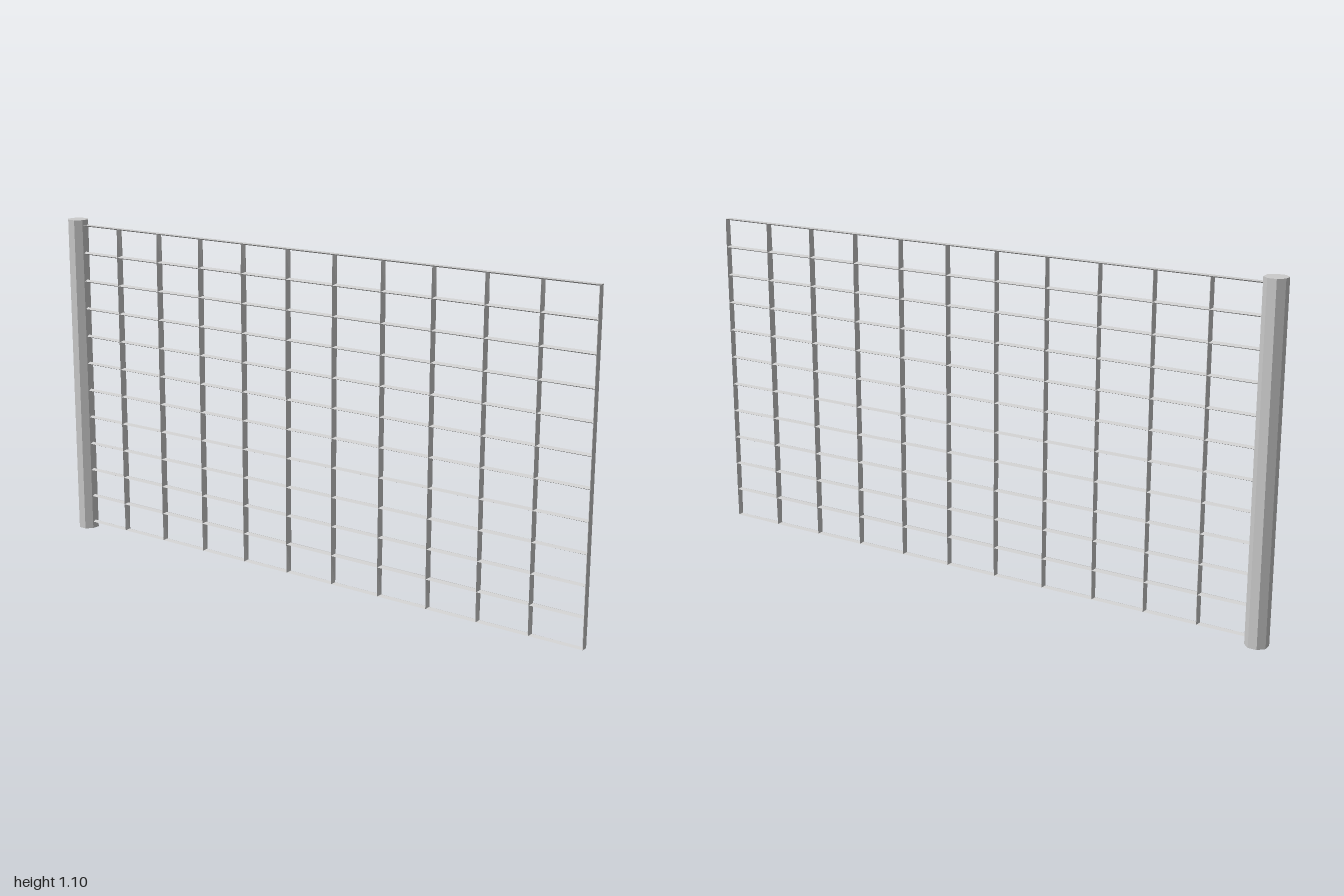
import * as THREE from 'three';

const material = new THREE.MeshStandardMaterial({ color: 0xcccccc, flatShading: true });

// Grid layout of the mesh panel, in the plane x = 0
const COLS = 11, ROWS = 11;
const Z_FRONT = 1, Z_STEP = -0.1777;
const Y_BOTTOM = 0.023, Y_STEP = 0.0963;
const INSET_Z = 0.007, INSET_Y = 0.005; // half thickness of the wires

// Half depth of the wires at a grid point: thinner at the rim and corners
function halfDepth(c, r) {
  const rims = (c % COLS === 0) + (r % ROWS === 0);
  return [0.0135, 0.0115, 0.0105][rims];
}

// Wire lattice: every cell gets a bevelled rim on both sides
function latticeGeometry() {
  const pos = [];
  const quad = (a, b, c, d) => pos.push(...a, ...b, ...c, ...a, ...c, ...d);
  const outer = ([c, r], side) => [side * halfDepth(c, r), Y_BOTTOM + r * Y_STEP, Z_FRONT + c * Z_STEP];

  for (let c = 0; c < COLS; c++) {
    for (let r = 0; r < ROWS; r++) {
      const corners = [[c, r], [c + 1, r], [c + 1, r + 1], [c, r + 1]];
      const inner = corners.map(([i, j]) => [
        0,
        Y_BOTTOM + j * Y_STEP + (j === r ? INSET_Y : -INSET_Y),
        Z_FRONT + i * Z_STEP + (i === c ? -INSET_Z : INSET_Z),
      ]);
      const onRim = [r === 0, c === COLS - 1, r === ROWS - 1, c === 0];
      for (let k = 0; k < 4; k++) {
        const n = (k + 1) % 4;
        const a = corners[k], b = corners[n];
        quad(outer(a, 1), outer(b, 1), inner[n], inner[k]);
        quad(inner[k], inner[n], outer(b, -1), outer(a, -1));
        // flat outer edge of the panel
        if (onRim[k]) quad(outer(a, 1), outer(a, -1), outer(b, -1), outer(b, 1));
      }
    }
  }
  const geo = new THREE.BufferGeometry();
  geo.setAttribute('position', new THREE.Float32BufferAttribute(pos, 3));
  geo.computeVertexNormals();
  return geo;
}

export function createModel() {
  const group = new THREE.Group();
  group.name = 'fenceSection';

  const panel = new THREE.Mesh(latticeGeometry(), material);
  panel.name = 'wirePanel';
  group.add(panel);

  // Octagonal post with a flat side towards the panel
  const post = new THREE.Mesh(new THREE.CylinderGeometry(0.0363, 0.0363, 1.1, 8), material);
  post.name = 'post';
  post.rotation.y = Math.PI / 8;
  post.position.set(0, 0.55, -0.9665);
  group.add(post);

  return group;
}
